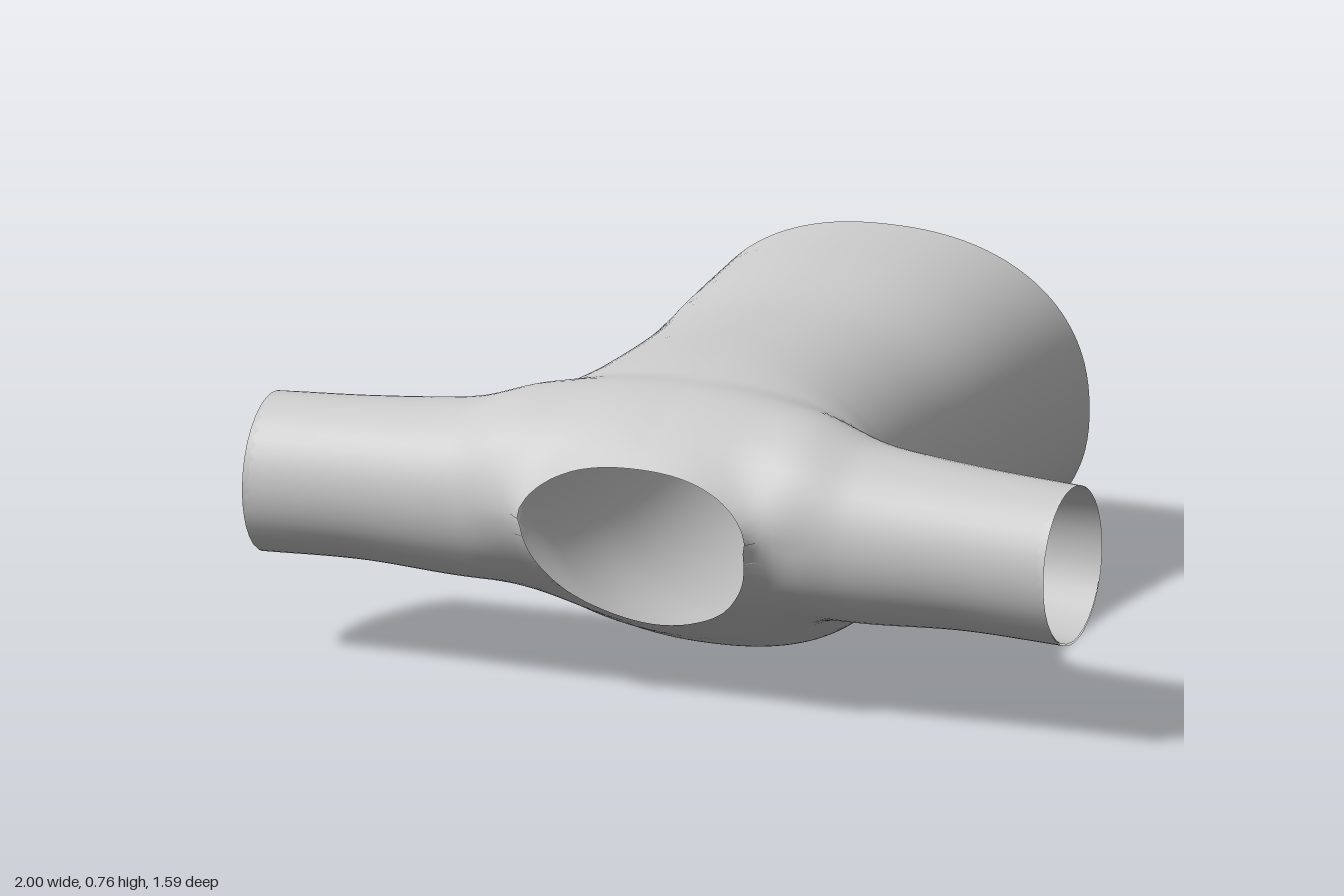
import * as THREE from 'three';

const GREY = new THREE.MeshStandardMaterial({ color: 0xcccccc, side: THREE.DoubleSide });

// Smooth interpolation of rows [position, value, value, ...]
function sample(rows, p) {
  const last = rows.length - 1;
  p = Math.min(Math.max(p, rows[0][0]), rows[last][0]);
  let i = 0;
  while (i < last - 1 && p > rows[i + 1][0]) i++;
  const slope = (n, c) => {
    const a = rows[Math.max(n - 1, 0)], b = rows[Math.min(n + 1, last)];
    return (b[c] - a[c]) / (b[0] - a[0]);
  };
  const A = rows[i], B = rows[i + 1], h = B[0] - A[0], t = (p - A[0]) / h;
  const t2 = t * t, t3 = t2 * t;
  return A.slice(1).map((v, c) =>
    (2 * t3 - 3 * t2 + 1) * v + (t3 - 2 * t2 + t) * h * slope(i, c + 1) +
    (3 * t2 - 2 * t3) * B[c + 1] + (t3 - t2) * h * slope(i + 1, c + 1));
}

// Torso along z: half width, top, bottom, height of the widest line, roundness below it
const TORSO = [
  [-0.8, 0.495, 0.765, 0.005, 0.385, 2.3],
  [-0.5, 0.468, 0.755, 0.015, 0.385, 2.3],
  [-0.2, 0.442, 0.735, 0.025, 0.385, 2.3],
  [0, 0.435, 0.735, 0.03, 0.385, 2.3],
  [0.25, 0.452, 0.735, 0.035, 0.385, 2.3],
  [0.4, 0.495, 0.722, 0.088, 0.395, 2.2],
  [0.52, 0.45, 0.702, 0.137, 0.41, 2.1],
  [0.65, 0.33, 0.662, 0.19, 0.43, 1.85],
  [0.72, 0.285, 0.63, 0.19, 0.44, 1.8],
  [0.8, 0.272, 0.575, 0.19, 0.45, 1.8],
];
// Sleeve along |x|: top, bottom, back, front
const SLEEVE = [
  [0, 0.67, 0.26, 0.34, 0.69],
  [0.2, 0.68, 0.25, 0.335, 0.715],
  [0.35, 0.682, 0.23, 0.33, 0.752],
  [0.5, 0.645, 0.225, 0.335, 0.742],
  [0.75, 0.62, 0.238, 0.362, 0.73],
  [1, 0.605, 0.23, 0.372, 0.725],
];
// Neckline: z by height
const NECK = [[0.1, 0.6], [0.19, 0.645], [0.3, 0.725], [0.45, 0.797], [0.6, 0.77], [0.8, 0.765]];

function torso(x, y, z) {
  const [w, top, bottom, mid, round] = sample(TORSO, z);
  const h = y > mid ? top - mid : mid - bottom;
  const e = y > mid ? 2.25 : round;
  const n = Math.pow(Math.abs(x) / w, e) + Math.pow(Math.abs(y - mid) / h, e);
  return (Math.pow(n, 1 / e) - 1) * Math.min(w, h);
}

function sleeve(x, y, z) {
  const [top, bottom, back, front] = sample(SLEEVE, Math.abs(x));
  const ry = (top - bottom) / 2, rz = (front - back) / 2;
  return (Math.hypot((y - bottom - ry) / ry, (z - back - rz) / rz) - 1) * Math.min(ry, rz);
}

// Torso and sleeves blended together, softer over the yoke than in the armpit
function field(x, y, z) {
  const a = torso(x, y, z), b = sleeve(x, y, z);
  const k = 0.04 + 0.06 * THREE.MathUtils.smoothstep(z, 0.32, 0.5);
  const h = Math.max(k - Math.abs(a - b), 0) / k;
  return Math.min(a, b) - h * h * k / 4;
}

// t runs from the hem (0) to the neckline (1)
function place([x, y, t]) {
  const hem = -0.795 + 0.08 * y - 0.05 * y * y;
  return [x, y, hem + (sample(NECK, y)[0] - hem) * t];
}

function gradient(f, p) {
  const e = 0.002;
  return p.map((_, c) => {
    const a = p.slice(), b = p.slice();
    a[c] -= e;
    b[c] += e;
    return (f(b) - f(a)) / (2 * e);
  });
}

// Skin over the field, left open at hem, neckline and sleeve ends
function skinGeometry() {
  const N = [80, 34, 64], LOW = [-1, -0.06, 0], SIZE = [2, 0.9, 1];
  const warped = p => field(...place(p));
  const world = p => field(...p);
  const node = c => c.map((v, a) => LOW[a] + SIZE[a] * v / N[a]);
  const id = c => (c[0] * (N[1] + 1) + c[1]) * (N[2] + 1) + c[2];
  const values = [];
  for (let i = 0; i <= N[0]; i++)
    for (let j = 0; j <= N[1]; j++)
      for (let k = 0; k <= N[2]; k++) values.push(warped(node([i, j, k])));

  const positions = [], normals = [], index = [], known = new Map();
  // One vertex per crossed cell, pulled onto the skin; rim cells stay on the rim
  function vertex(cell) {
    const key = id(cell);
    if (known.has(key)) return known.get(key);
    let p = node(cell.map(v => v + 0.5));
    const locked = cell.map((v, a) => {
      if (a === 1 || (v > 0 && v < N[a] - 1)) return false;
      p[a] = LOW[a] + (v === 0 ? 0 : SIZE[a]);
      return true;
    });
    for (let s = 0; s < 6; s++) {
      const g = gradient(warped, p).map((v, a) => locked[a] ? 0 : v);
      const step = warped(p) / Math.max(g[0] * g[0] + g[1] * g[1] + g[2] * g[2], 0.2);
      p = p.map((v, a) => v - Math.max(-0.02, Math.min(0.02, g[a] * step)));
    }
    p = p.map((v, a) => a === 1 ? v : Math.min(Math.max(v, LOW[a]), LOW[a] + SIZE[a]));
    const q = place(p), n = new THREE.Vector3(...gradient(world, q)).normalize();
    positions.push(...q);
    normals.push(n.x, n.y, n.z);
    known.set(key, positions.length / 3 - 1);
    return positions.length / 3 - 1;
  }

  // A quad around every grid edge that crosses the skin
  for (let i = 0; i <= N[0]; i++)
    for (let j = 0; j <= N[1]; j++)
      for (let k = 0; k <= N[2]; k++)
        for (let a = 0; a < 3; a++) {
          const c = [i, j, k], b1 = (a + 1) % 3, b2 = (a + 2) % 3;
          if (c[a] === N[a] || !c[b1] || !c[b2] || c[b1] === N[b1] || c[b2] === N[b2]) continue;
          const next = c.slice();
          next[a]++;
          const inside = values[id(c)] < 0;
          if (inside === values[id(next)] < 0) continue;
          const [p, q, r, s] = [[1, 1], [0, 1], [0, 0], [1, 0]].map(([u, v]) => {
            const cell = c.slice();
            cell[b1] -= u;
            cell[b2] -= v;
            return vertex(cell);
          });
          if (inside) index.push(p, q, r, p, r, s);
          else index.push(p, r, q, p, s, r);
        }

  const geometry = new THREE.BufferGeometry();
  geometry.setAttribute('position', new THREE.Float32BufferAttribute(positions, 3));
  geometry.setAttribute('normal', new THREE.Float32BufferAttribute(normals, 3));
  geometry.setIndex(index);
  return geometry;
}

// Lining that narrows inward from a sleeve end
function liningGeometry(side) {
  const rings = [[1, 0.18], [0.85, 0.165], [0.7, 0.14], [0.58, 0.112], [0.5, 0.095]];
  const geometry = new THREE.LatheGeometry(rings.map(([x, r]) => new THREE.Vector2(r, x)), 32);
  geometry.rotateZ(-side * Math.PI / 2);
  geometry.scale(1, 1.03, 0.98);
  geometry.translate(0, 0.42, 0.55);
  // the inner end sits a little higher and further forward
  const p = geometry.attributes.position;
  for (let i = 0; i < p.count; i++) {
    const depth = (1 - Math.abs(p.getX(i))) / 0.5;
    p.setY(i, p.getY(i) + 0.015 * depth);
    p.setZ(i, p.getZ(i) + 0.01 * depth);
  }
  return geometry;
}

export function createModel() {
  const model = new THREE.Group();
  model.name = 'shirt';
  const add = (name, geometry) => {
    const mesh = new THREE.Mesh(geometry, GREY);
    mesh.name = name;
    model.add(mesh);
  };
  add('bodyAndSleeves', skinGeometry());
  add('leftSleeveLining', liningGeometry(1));
  add('rightSleeveLining', liningGeometry(-1));
  return model;
}
